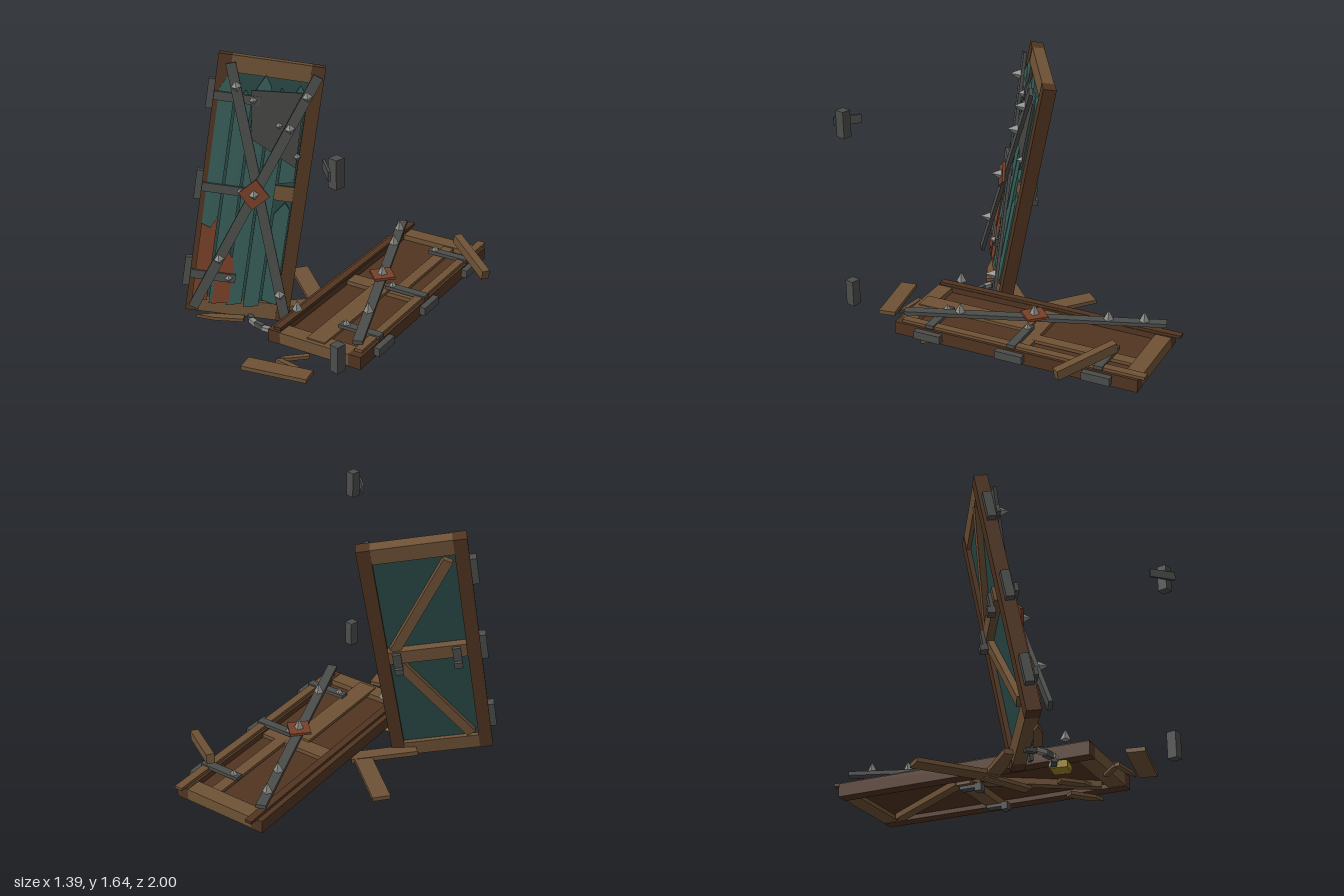
import * as THREE from 'three';

const mat = (name, color) => {
  const m = new THREE.MeshStandardMaterial({ color, flatShading: true });
  m.name = name;
  return m;
};
const darkWood = mat('dark wood', 0x503420);
const wood = mat('light wood', 0x6e5236);
const teal = mat('teal paint', 0x365c57);
const darkTeal = mat('dark teal paint', 0x284846);
const iron = mat('iron', 0x4b4d4b);
const plateIron = mat('dark plate', 0x444542);
const steel = mat('steel', 0x8c8c88);
const rust = mat('rust', 0x774028);
const brass = mat('brass', 0x9c8428);

const W = 0.62, H = 1.57, T = 0.08;

function add(parent, name, geo, m, pos = [0, 0, 0], rz = 0) {
  const mesh = new THREE.Mesh(geo, m);
  mesh.name = name;
  mesh.position.set(...pos);
  mesh.rotation.z = rz;
  parent.add(mesh);
  return mesh;
}
const box = (parent, name, m, size, pos, rz) =>
  add(parent, name, new THREE.BoxGeometry(...size), m, pos, rz);

// Flat strip between two points in a door's own plane
function strip(parent, name, m, [x1, y1], [x2, y2], width, z, depth) {
  const len = Math.hypot(x2 - x1, y2 - y1);
  return box(parent, name, m, [len, width, depth], [(x1 + x2) / 2, (y1 + y2) / 2, z], Math.atan2(y2 - y1, x2 - x1));
}
// Polygon sheet with a small depth
function sheet(parent, name, m, pts, z, depth) {
  const shape = new THREE.Shape(pts.map(p => new THREE.Vector2(...p)));
  return add(parent, name, new THREE.ExtrudeGeometry(shape, { depth, bevelEnabled: false }), m, [0, 0, z]);
}
function spike(parent, x, y, z, r = 0.032, h = 0.066) {
  const geo = new THREE.ConeGeometry(r, h, 4).rotateX(Math.PI / 2).translate(0, 0, h / 2);
  return add(parent, 'spike', geo, steel, [x, y, z], 0.3);
}
// Loose board between two world points
function board(parent, name, m, a, b, width, thick) {
  const p = new THREE.Vector3(...a), q = new THREE.Vector3(...b);
  const x = q.clone().sub(p), len = x.length();
  x.normalize();
  const z = new THREE.Vector3().crossVectors(x, new THREE.Vector3(0, 1, 0)).normalize();
  const y = new THREE.Vector3().crossVectors(z, x);
  const mesh = box(parent, name, m, [len, thick, width], [0, 0, 0]);
  mesh.quaternion.setFromRotationMatrix(new THREE.Matrix4().makeBasis(x, y, z));
  mesh.position.copy(p.add(q).multiplyScalar(0.5));
  return mesh;
}
// Splinter lying flat, tapering to a point
function splinter(parent, a, b, y, width) {
  const len = Math.hypot(b[0] - a[0], b[1] - a[1]);
  const s = new THREE.Shape([[0, -width / 2], [len * 0.7, -width / 2], [len, 0], [len * 0.6, width / 2], [0, width / 2]]
    .map(p => new THREE.Vector2(...p)));
  const geo = new THREE.ExtrudeGeometry(s, { depth: 0.02, bevelEnabled: false }).rotateX(-Math.PI / 2);
  const mesh = add(parent, 'splinter', geo, wood, [a[0], y, a[1]]);
  mesh.rotation.y = Math.atan2(-(b[1] - a[1]), b[0] - a[0]);
}

// Door leaf facing +z; side is where its hinges are (-1 or +1)
function makeLeaf(name, side, panelMat) {
  const g = new THREE.Group();
  g.name = name;
  const sx = u => side * (W / 2 - u); // distance from the hinge edge
  const vy = v => v - H / 2;
  for (const u of [0.04, W - 0.04]) box(g, 'stile', darkWood, [0.08, H, T], [sx(u), 0, 0]);
  for (const v of [0.05, H - 0.05]) box(g, 'rail', wood, [W - 0.16, 0.1, T - 0.006], [0, vy(v), 0]);
  box(g, 'panel', panelMat, [W - 0.16, H - 0.2, 0.016], [0, 0, -0.005]);

  // back rail, braces and bar brackets
  box(g, 'backRail', wood, [W - 0.16, 0.09, 0.045], [0, vy(0.8), -0.036]);
  for (const v of [1.44, 0.13])
    strip(g, 'brace', wood, [sx(0.5), vy(v > 1 ? 0.84 : 0.76)], [sx(0.12), vy(v)], 0.06, -0.031, 0.036);
  for (const u of [0.14, 0.49]) {
    box(g, 'barBracket', iron, [0.05, 0.13, 0.02], [sx(u), vy(0.77), -0.068]);
    box(g, 'barHook', iron, [0.05, 0.04, 0.045], [sx(u), vy(0.72), -0.075]);
  }
  // hinges and their bolted straps
  for (const v of [1.327, 0.777, 0.237]) {
    box(g, 'hinge', iron, [0.052, 0.175, 0.05], [sx(-0.012), vy(v), 0.004]);
    box(g, 'hingeStrap', iron, [0.27, 0.052, 0.022], [sx(0.137), vy(v), 0.057]);
    spike(g, sx(0.232), vy(v), 0.067, 0.024, 0.034);
  }
  // diagonal strap with centre diamond
  strip(g, 'crossStrap', iron, [sx(0.58), vy(1.525)], [sx(0.045), vy(0.045)], 0.06, 0.1, 0.024);
  box(g, 'diamond', rust, [0.13, 0.13, 0.016], [0, 0, 0.12], Math.PI / 4);
  spike(g, 0, 0, 0.124);
  for (const t of [0.085, 0.22, 0.785]) spike(g, sx(0.58 - 0.535 * t), vy(1.525 - 1.48 * t), 0.11);
  return g;
}

function place(g, xAxis, yAxis, pos) {
  const x = new THREE.Vector3(...xAxis).normalize(), y = new THREE.Vector3(...yAxis).normalize();
  const z = new THREE.Vector3().crossVectors(x, y).normalize();
  y.crossVectors(z, x);
  g.quaternion.setFromRotationMatrix(new THREE.Matrix4().makeBasis(x, y, z));
  g.position.set(...pos);
}

function standingDoor() {
  const g = makeLeaf('standingDoor', -1, darkTeal);
  const p = (u, v) => [u - W / 2, v - H / 2];
  // painted planks with ragged tops, lying over the hinge stile
  const tops = [1.47, 1.38, 1.48, 1.42, 1.45];
  tops.forEach((top, i) => {
    const a = 0.03 + i * 0.103, b = a + 0.09;
    const low = i === 4 ? 0.85 : 0.06;
    sheet(g, 'plank', teal, [p(a, low), p(b, low + 0.02), p(b, top - 0.06), p(a + 0.05, top), p(a, top - 0.1)], 0.03, 0.018);
  });
  sheet(g, 'lowPlank', teal, [p(0.442, 0.12), p(0.532, 0.1), p(0.532, 0.7), p(0.5, 0.74), p(0.442, 0.66)], 0.03, 0.018);
  // exposed wood, rust stains and patch plate
  box(g, 'exposedRail', wood, [0.13, 0.09, 0.014], [0.165, 0.005, 0.026]);
  sheet(g, 'rustStain', rust, [p(0.03, 0.06), p(0.12, 0.08), p(0.12, 0.61), p(0.085, 0.53), p(0.03, 0.55)], 0.0485, 0.005);
  sheet(g, 'rustStain', rust, [p(0.15, 0.06), p(0.25, 0.08), p(0.25, 0.34), p(0.21, 0.4), p(0.15, 0.34)], 0.0485, 0.005);
  sheet(g, 'patchPlate', plateIron, [p(0.215, 1.385), p(0.52, 1.41), p(0.53, 0.96), p(0.25, 1.1)], 0.05, 0.014);
  for (const [u, v] of [[0.4, 1.2], [0.53, 1.03]]) spike(g, ...p(u, v), 0.063, 0.022, 0.034);
  // second strap completing the cross
  strip(g, 'crossStrap', iron, p(0.075, 1.53), p(0.595, 0.04), 0.06, 0.079, 0.02);
  for (const [u, v] of [[0.125, 1.4], [0.545, 0.18]]) spike(g, ...p(u, v), 0.088);
  place(g, [0.68, -0.16, -0.715], [-0.008, 0.975, -0.22], [-0.439, 0.823, 0.41]);
  return g;
}

function fallenDoor() {
  const g = makeLeaf('fallenDoor', 1, darkWood);
  box(g, 'midRail', wood, [W - 0.16, 0.1, 0.03], [0, 0.015, 0.014]);
  strip(g, 'remainingPlank', wood, [0.0, -0.76], [0.0, -0.02], 0.12, 0.035, 0.02);
  strip(g, 'remainingPlank', wood, [0.1, 0.04], [0.1, 0.7], 0.07, 0.02, 0.02);
  strip(g, 'looseTrim', wood, [0.27, -0.74], [0.27, 0.82], 0.05, 0.05, 0.018);
  strip(g, 'looseTrim', darkWood, [-0.255, -0.77], [-0.255, 0.84], 0.045, 0.05, 0.018);
  spike(g, -0.22, -0.61, 0.106);
  place(g, [0.97, 0, -0.24], [-0.24, 0, -0.97], [0.09, 0.125, -0.1375]);
  return g;
}

export function createModel() {
  const root = new THREE.Group();
  root.name = 'brokenDoubleDoor';
  root.add(standingDoor(), fallenDoor());

  // frame-side hinge halves left hanging
  for (const y of [1.402, 0.317]) box(root, 'frameHinge', iron, [0.058, 0.162, 0.06], [0.664, y, 0.81]);
  board(root, 'hingeArm', iron, [0.545, 1.405, 0.785], [0.68, 1.405, 0.875], 0.014, 0.052);

  // scattered boards
  board(root, 'board', wood, [-0.58, 0.06, -0.07], [-0.16, 0.05, 0.15], 0.11, 0.025);
  board(root, 'board', wood, [0.05, 0.072, 0.945], [0.415, 0.072, 0.785], 0.105, 0.025);
  board(root, 'board', wood, [0.14, 0.285, -0.77], [0.5, 0.21, -0.625], 0.05, 0.06);
  board(root, 'board', wood, [-0.14, 0.05, 0.08], [-0.36, 0.065, 0.43], 0.08, 0.03);
  board(root, 'board', wood, [-0.2, 0.04, 0.12], [0.08, 0.03, 0.2], 0.07, 0.022);
  const splinters = [
    [[0.24, 0.62], [0.13, 0.78], 0.05, 0.03], [[0.13, 0.77], [0.34, 0.75], 0.045, 0.03],
    [[0.3, 0.32], [0.5, 0.42], 0.025, 0.06], [[0.1, 0.4], [0.27, 0.5], 0.03, 0.06],
    [[-0.35, 0.6], [-0.58, 0.78], 0.05, 0.05]];
  for (const [a, b, y, w] of splinters) splinter(root, a, b, y, w);

  // padlock and broken chain
  const lock = box(root, 'padlock', brass, [0.11, 0.042, 0.1], [-0.03, 0.054, 0.51]);
  lock.rotation.y = 0.4;
  const links = [[-0.35, 0.55], [-0.295, 0.575], [-0.235, 0.578], [-0.175, 0.575], [-0.13, 0.54], [-0.1, 0.51]];
  links.forEach(([x, z], i) => {
    const link = box(root, 'chainLink', i % 2 ? steel : iron, [0.065, i % 2 ? 0.025 : 0.035, 0.032], [x, 0.05, z]);
    link.rotation.y = i * 0.28 - 0.5;
  });
  return root;
}
